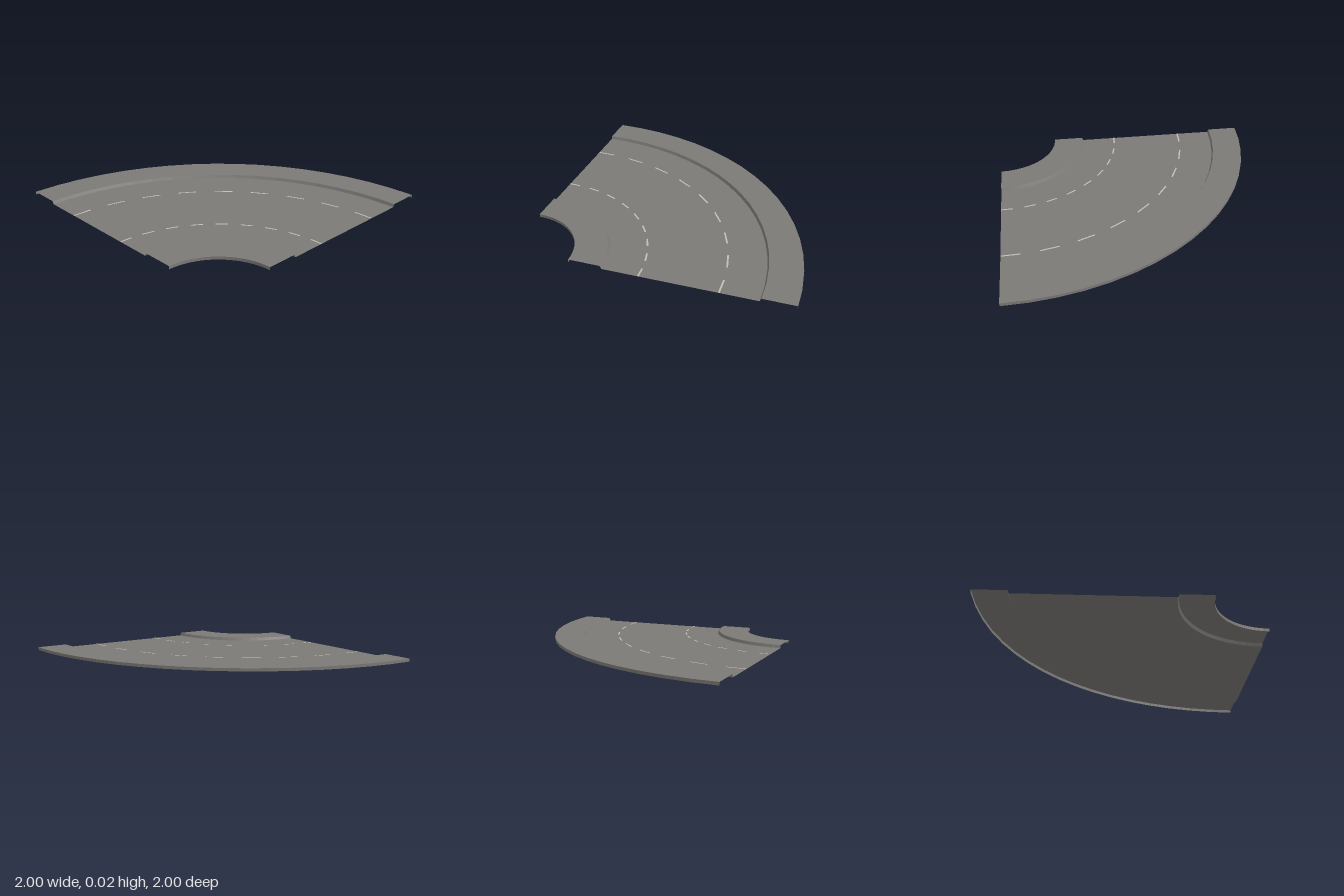
import * as THREE from 'three';

const SEGMENTS = 17;            // facets in the quarter turn
const STEP = Math.PI / 2 / SEGMENTS;
const HEIGHT = 0.022;           // kerb height

export function createModel() {
  const model = new THREE.Group();
  model.name = 'curvedRoad';

  const asphalt = new THREE.MeshStandardMaterial({
    name: 'asphaltGrey', color: 0x7c7a77, flatShading: true, side: THREE.DoubleSide });
  const paint = new THREE.MeshStandardMaterial({
    name: 'lanePaint', color: 0xc6bcb5, flatShading: true, side: THREE.DoubleSide });

  // Sweeps an open [radius, height] profile, listed from outside to inside, around the bend centre
  function sweep(name, profile, material, parent, first = 0, count = SEGMENTS) {
    const points = profile.map(([r, y]) => new THREE.Vector2(r, y));
    const geometry = new THREE.LatheGeometry(points, count, Math.PI / 2 + first * STEP, count * STEP);
    const mesh = new THREE.Mesh(geometry, material);
    mesh.name = name;
    mesh.position.set(-1, 0, 1);
    parent.add(mesh);
  }

  // Carriageway and the raised, hollow pavements on both sides
  sweep('roadSurface', [[1.76, 0], [0.685, 0]], asphalt, model);
  sweep('outerPavement', [[2, 0], [2, HEIGHT], [1.77, HEIGHT]], asphalt, model);
  sweep('outerKerb', [[1.77, HEIGHT], [1.76, 0]], asphalt, model);
  sweep('innerKerb', [[0.685, 0], [0.675, HEIGHT]], asphalt, model);
  sweep('innerPavement', [[0.675, HEIGHT], [0.445, HEIGHT], [0.445, 0]], asphalt, model);

  // Dashed lane lines: a dash on every other facet
  for (const [name, radius] of [['outerLaneLine', 1.495], ['innerLaneLine', 0.945]]) {
    const line = new THREE.Group();
    line.name = name;
    model.add(line);
    for (let i = 0; i < SEGMENTS; i += 2) {
      sweep('laneDash', [[radius + 0.006, 0.002], [radius - 0.006, 0.002]], paint, line, i, 1);
    }
  }
  return model;
}
